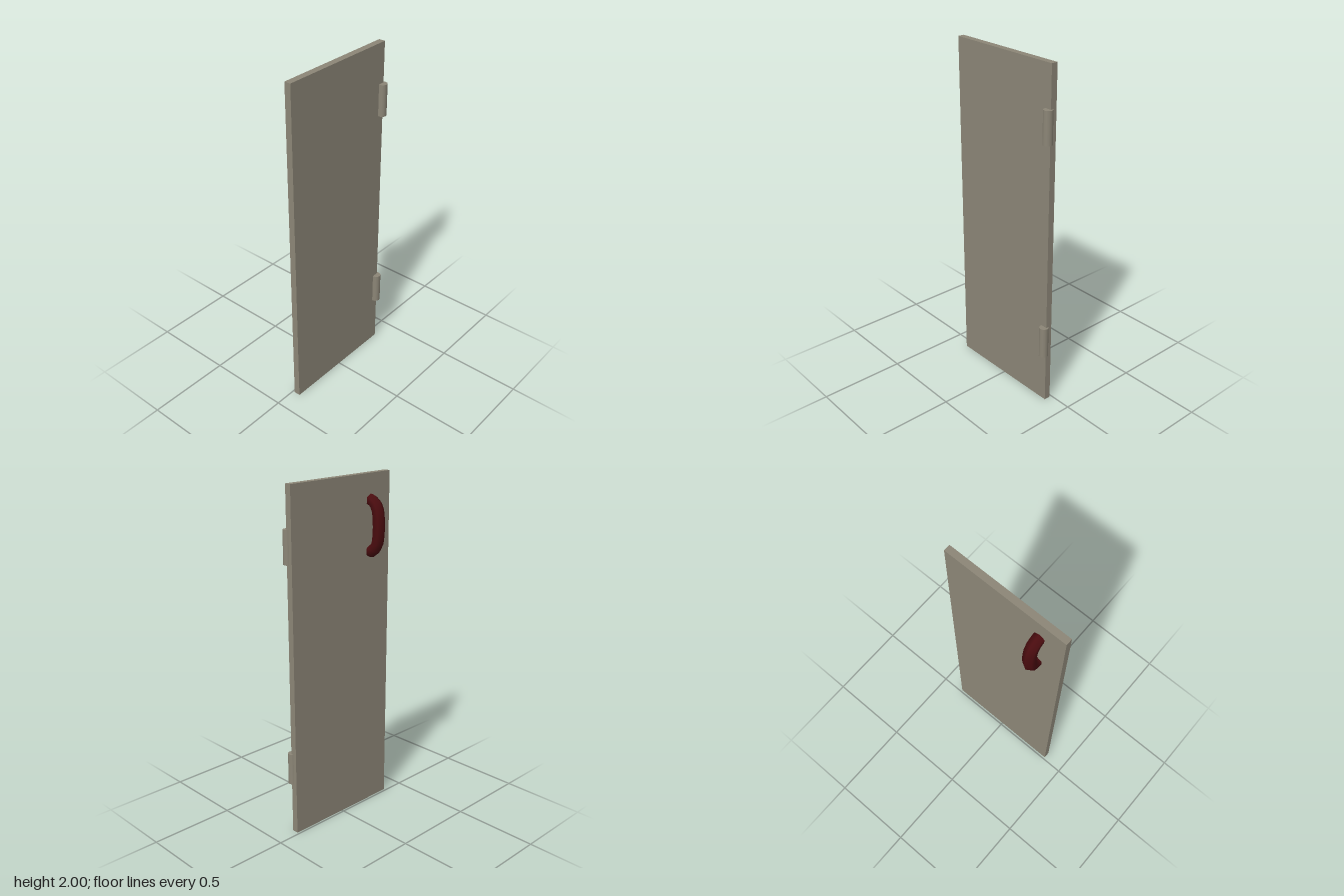
import * as THREE from 'three';

// Sweeps a hexagonal section, corner pointing outwards, along a path in the xy plane
function sweepHex(points, radius) {
  const curve = new THREE.CatmullRomCurve3(points.map(([x, y]) => new THREE.Vector3(x, y, 0)));
  const steps = 10, sides = 6, pos = [], index = [];
  for (let i = 0; i <= steps; i++) {
    const p = curve.getPoint(i / steps);
    const t = curve.getTangent(i / steps);
    for (let j = 0; j < sides; j++) {
      const a = (j / sides) * Math.PI * 2;
      const out = Math.cos(a) * radius;
      pos.push(p.x + t.y * out, p.y - t.x * out, Math.sin(a) * radius);
      if (i < steps) {
        const k = (j + 1) % sides;
        const a0 = i * sides + j, a1 = i * sides + k;
        index.push(a0, a0 + sides, a1, a1, a0 + sides, a1 + sides);
      }
    }
  }
  const geo = new THREE.BufferGeometry();
  geo.setAttribute('position', new THREE.Float32BufferAttribute(pos, 3));
  geo.setIndex(index);
  geo.computeVertexNormals();
  return geo;
}

export function createModel() {
  const group = new THREE.Group();
  const metal = new THREE.MeshStandardMaterial({ name: 'warm grey', color: 0x8c8677 });
  const red = new THREE.MeshStandardMaterial({ name: 'dark red', color: 0x4a0c0f, side: THREE.DoubleSide });

  const add = (name, geo, mat, x, y, z) => {
    const mesh = new THREE.Mesh(geo, mat);
    mesh.name = name;
    mesh.position.set(x, y, z);
    group.add(mesh);
  };

  // Flat door leaf
  add('doorPanel', new THREE.BoxGeometry(0.038, 2, 0.731), metal, 0.032, 1, 0.0045);

  // Hinge barrels on the rear edge
  const barrel = new THREE.CylinderGeometry(0.027, 0.027, 0.186, 12);
  add('lowerHinge', barrel, metal, 0.056, 0.4, -0.347);
  add('upperHinge', barrel, metal, 0.056, 1.673, -0.347);

  // Curved pull handle, its ends sunk into the panel
  const path = [
    [0.025, -0.145], [-0.014, -0.135], [-0.042, -0.095], [-0.051, -0.035],
    [-0.051, 0.035], [-0.042, 0.095], [-0.014, 0.135], [0.025, 0.145],
  ];
  add('handle', sweepHex(path, 0.035), red, 0, 1.71, 0.22);

  return group;
}
